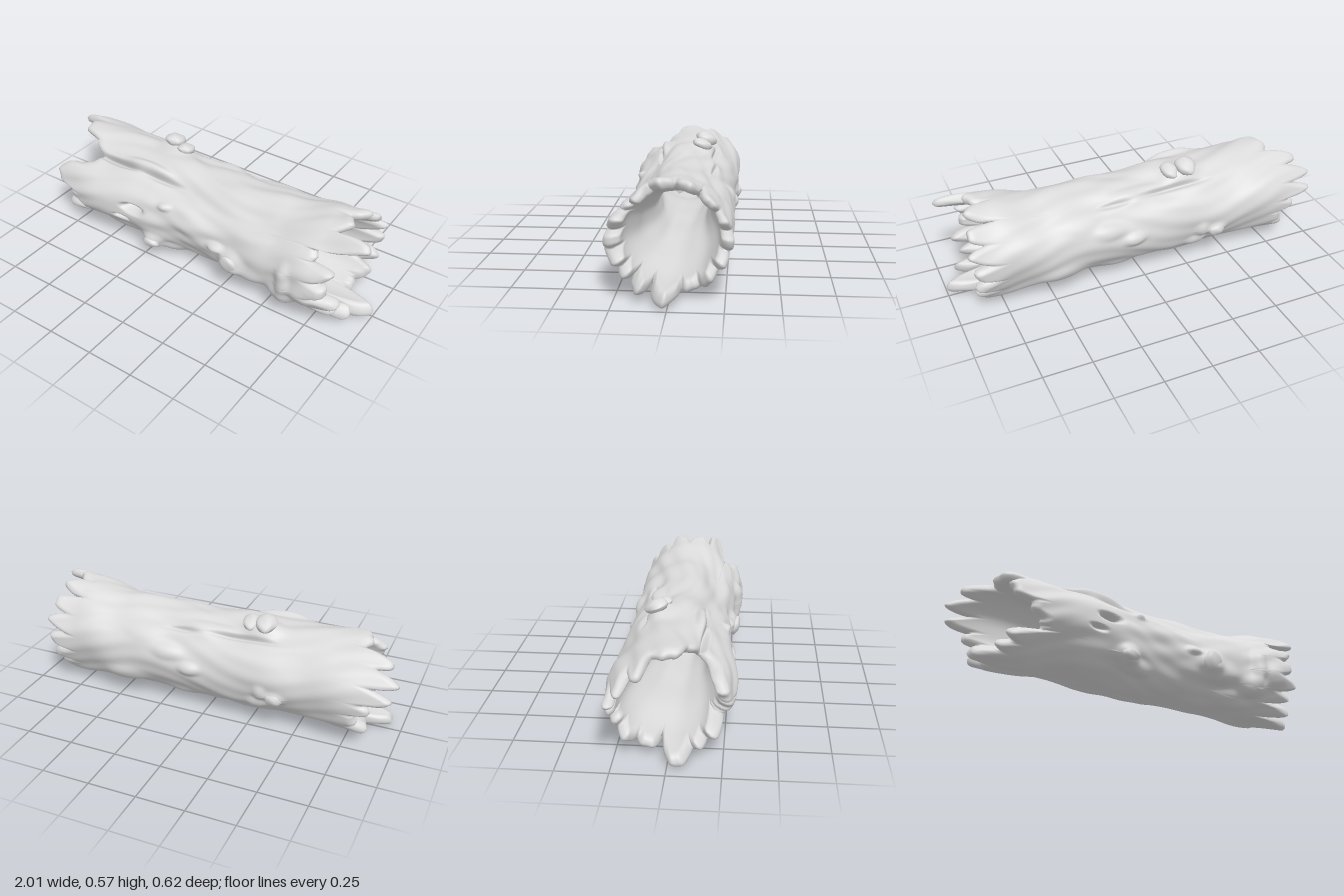
import * as THREE from 'three';

const RAD = Math.PI / 180;
// Angles run around the log in degrees: 0 front, 90 top, 180 back, -90 underside.
const turn = (a, b) => ((a - b + 540) % 360 + 360) % 360 - 180;

// Outline of the trunk, sampled evenly from x = -1 to x = 1
const TOP = [.495, .525, .51, .51, .5, .5, .505, .55, .59];
const BOTTOM = [.005, .012, .04, .025, .02, .03, .03, .012, .015];
const FRONT = [.28, .285, .285, .265, .235, .225, .25, .28, .26];
const BACK = [.31, .312, .302, .297, .29, .292, .302, .292, .305];
function sample(list, x) {
  const t = Math.min(7.999, Math.max(0, (x + 1) * 4)), i = Math.floor(t), f = t - i;
  const k = f * f * (3 - 2 * f);
  return list[i] * (1 - k) + list[i + 1] * k;
}

// Broken splinters at each end: [angle, reach, half width in degrees]
const RIGHT_SPLINTERS = [
  [84, .86, 15], [57, 1, 13], [17, .87, 11], [-4, .86, 10], [-24, .91, 10], [-42, .88, 9],
  [-62, .93, 10], [-88, 1, 15], [-113, .85, 11], [-134, .89, 13], [-156, .9, 11], [-178, .91, 11],
  [160, .92, 12], [137, .91, 13], [111, .89, 13],
];
const LEFT_SPLINTERS = [
  [96, .82, 19], [121, .96, 11], [142, 1, 13], [164, .98, 12], [-176, .89, 10], [-157, .82, 14], [-136, .86, 13],
  [-113, .84, 12], [-83, .95, 16], [-62, .85, 10], [-44, .82, 10], [-14, .68, 14], [17, .84, 18],
];
function reach(list, base, angle) {
  let best = base;
  for (const [a, tip, w] of list) {
    const d = Math.abs(turn(angle, a)) / w;
    if (d < 1) best = Math.max(best, base + (tip - base) * Math.pow(1 - d * d, 0.45));
  }
  return best + 0.006 * Math.sin(angle * RAD * 23);
}
const rightRim = angle => reach(RIGHT_SPLINTERS, .76, angle);
function leftRim(angle) {
  const notch = .12 * Math.exp(-((turn(angle, 55) / 18) ** 2)) + .08 * Math.exp(-((turn(angle, -28) / 12) ** 2));
  return reach(LEFT_SPLINTERS, .74 - notch, angle);
}
// Length over which the wall rounds off, longer along the flanks of a splinter
function rounding(rim, angle) {
  const slope = (rim(angle + 1) - rim(angle - 1)) / (2 * RAD * .27);
  return Math.min(.11, .04 * Math.hypot(1, slope));
}

// Swellings (+) and pits or cracks (-): [x, angle, height, length, width in degrees]
const FEATURES = [
  [.31, -14, .045, .065, 12], [.21, -4, .03, .04, 5], [.4, -28, .02, .08, 14], [.3, -26, .015, .13, 10],
  [.62, -8, .03, .035, 20], [.6, -35, .045, .07, 12], [.5, -60, .02, .1, 12], [.72, -20, .015, .06, 10],
  [-.19, -33, .045, .055, 9], [-.12, -45, .03, .08, 9], [-.12, 24, .022, .03, 5],
  [-.31, 5, -.065, .055, 5], [-.38, -14, -.04, .04, 3],
  [-.5, 58, -.05, .12, 4], [-.3, 66, .03, .12, 6], [-.2, 57, -.025, .1, 4],
  [-.27, 110, .03, .09, 14], [-.2, 128, -.025, .16, 3], [.14, 131, -.02, .08, 3], [0, 121, .012, .12, 6],
  [-.4, -164, .025, .045, 8], [-.32, -169, .02, .03, 9], [-.3, -150, .02, .05, 8], [.07, 177, .025, .05, 7],
  [.2, 160, .015, .07, 9], [.35, 140, .012, .1, 12], [.45, -150, .012, .1, 12], [-.1, -120, .012, .12, 12],
];
function relief(x, angle) {
  const t = angle * RAD;
  let h = .004 * Math.sin(6 * t + 5 * x + 2 * Math.sin(5 * x))
    + .003 * Math.sin(9 * t - 11 * x + 2 * Math.sin(3 * t))
    + .003 * Math.sin(4 * t - 13 * x) + .003 * Math.sin(3 * t + 19 * x)
    + .0015 * Math.sin(17 * t + 6 * Math.sin(5 * x));
  // The upper front is flattened
  h -= .038 * Math.exp(-((turn(angle, 48) / 22) ** 2));
  for (const [fx, fa, height, length, width] of FEATURES) {
    const d = ((x - fx) / length) ** 2 + (turn(angle, fa) / width) ** 2;
    if (d < 6) h += height * Math.exp(-d * d * 0.5 - d * 0.4);
  }
  return h;
}

// Point on the bark (side = 1), the hollow (side = -1) or the rim between (side = 0)
function trunkPoint(x, angle, side) {
  const c = Math.cos(angle * RAD), s = Math.sin(angle * RAD);
  const top = sample(TOP, x), bottom = sample(BOTTOM, x);
  const midY = (top + bottom) / 2, halfY = (top - bottom) / 2;
  const halfZ = c > 0 ? sample(FRONT, x) : sample(BACK, x);
  const outer = 1 + relief(x, angle) / Math.hypot(halfY * s, halfZ * c);
  const flare = THREE.MathUtils.smoothstep(Math.abs(x), 0.05, 0.85);
  const inner = .51 + .27 * flare - .06 * Math.exp(-((turn(angle, 48) / 25) ** 2)) * flare
    + .006 * Math.sin(5 * angle * RAD + 6 * x) + .006 * Math.sin(9 * angle * RAD - 4 * x);
  const k = (outer + inner) / 2 + side * (outer - inner) / 2;
  const inward = (1 - side) / 2;
  return [x, midY + (.025 * flare - .015) * inward + halfY * k * s, halfZ * k * c - .012 * inward];
}

// Closed skin: along the bark, round the right rim, back through the hollow, round the left rim
function trunkGeometry() {
  const around = 270, barkSteps = 130, hollowSteps = 70;
  const loop = [];
  const ease = t => t * (1.3 - 0.3 * t * t);
  for (let j = 0; j < barkSteps; j++) loop.push([ease(-1 + 2 * j / barkSteps), 1]);
  for (let j = 0; j < hollowSteps; j++) loop.push([ease(1 - 2 * j / hollowSteps), -1]);
  const positions = [], index = [], n = loop.length;
  for (let i = 0; i < around; i++) {
    const angle = i * 360 / around;
    const [left, right] = [leftRim, rightRim].map(rim => ({ length: rim(angle), soft: rounding(rim, angle) }));
    for (const [s, side] of loop) {
      const { length, soft } = s < 0 ? left : right;
      const toTip = Math.min(1, (1 - Math.abs(s)) * length / soft);
      const round = Math.sqrt(Math.max(0, 1 - (1 - toTip) ** 2));
      positions.push(...trunkPoint(s * length, angle, side * round));
    }
  }
  for (let i = 0; i < around; i++) {
    const i2 = (i + 1) % around;
    for (let j = 0; j < n; j++) {
      const j2 = (j + 1) % n;
      const a = i * n + j, b = i * n + j2, c = i2 * n + j2, d = i2 * n + j;
      index.push(a, b, c, a, c, d);
    }
  }
  const g = new THREE.BufferGeometry();
  g.setAttribute('position', new THREE.Float32BufferAttribute(positions, 3));
  g.setIndex(index);
  g.computeVertexNormals();
  return g;
}

export function createModel() {
  const wood = new THREE.MeshStandardMaterial({ color: 0xdadada });
  wood.name = 'pale grey wood';
  const log = new THREE.Group();
  log.name = 'hollowLog';

  const trunk = new THREE.Mesh(trunkGeometry(), wood);
  trunk.name = 'hollowTrunk';
  log.add(trunk);

  // Broken branch stubs: [name, x, angle, lift, size x, size across, size out]
  const stubs = [
    ['topStub', -.29, 111, .01, .055, .06, .035], ['topSmallStub', -.205, 109, 0, .045, .055, .028],
    ['frontStub', .31, -14, -.015, .055, .055, .025], ['lowerFrontStub', -.19, -32, -.012, .05, .03, .025],
    ['backStub', -.4, -164, -.017, .045, .035, .025],
  ];
  for (const [name, x, angle, lift, sx, sa, so] of stubs) {
    const g = new THREE.SphereGeometry(1, 16, 12);
    const p = g.attributes.position;
    for (let i = 0; i < p.count; i++) {
      const k = 1 + .08 * Math.sin(4 * p.getX(i) + 3 * p.getY(i)) * Math.cos(3 * p.getZ(i));
      p.setXYZ(i, p.getX(i) * k * sx, p.getY(i) * k * sa, p.getZ(i) * k * so);
    }
    g.computeVertexNormals();
    const stub = new THREE.Mesh(g, wood);
    const [px, py, pz] = trunkPoint(x, angle, 1);
    stub.position.set(px, py + lift * Math.sin(angle * RAD), pz + lift * Math.cos(angle * RAD));
    stub.rotation.x = -angle * RAD;
    stub.name = name;
    log.add(stub);
  }

  // Rest the log on the ground and centre it
  const box = new THREE.Box3().setFromObject(log, true);
  const mid = box.getCenter(new THREE.Vector3());
  for (const part of log.children) {
    part.position.x -= mid.x;
    part.position.y -= box.min.y;
    part.position.z -= mid.z;
  }
  return log;
}
